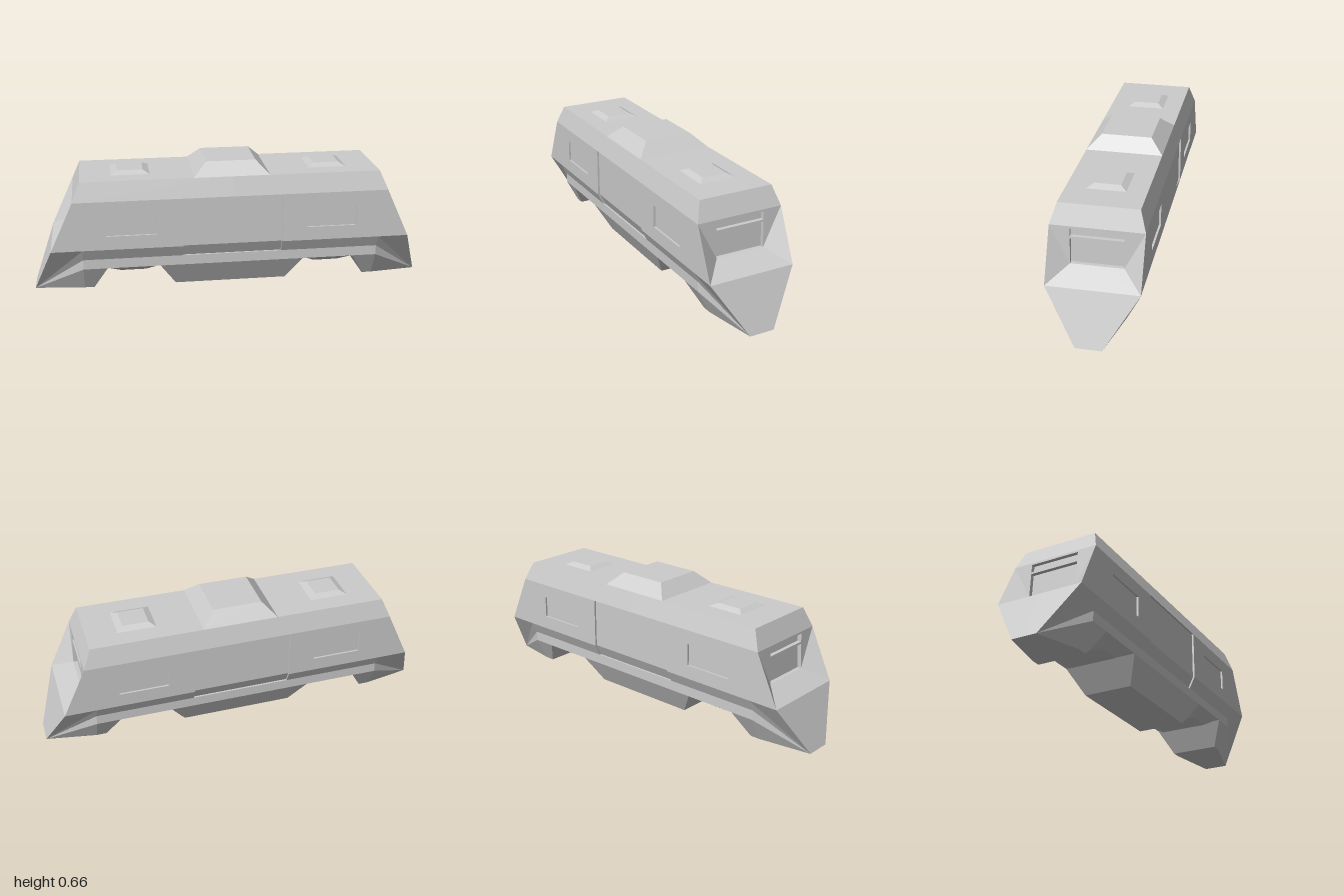
import * as THREE from 'three';

const grey = new THREE.MeshStandardMaterial({ color: 0xcccccc, flatShading: true });

function mesh(name, geometry) {
  const m = new THREE.Mesh(geometry, grey);
  m.name = name;
  return m;
}

// Flat polygons, each wound to face away from the point (dir 1) or towards it (dir -1)
function polygons(faces, point, dir = 1, signs = [[1, 1]]) {
  const out = [];
  for (const [sx, sz] of signs) {
    const flip = ([x, y, z]) => new THREE.Vector3(x * sx, y, z * sz);
    const centre = flip(point);
    for (const face of faces) {
      const p = face.map(flip);
      for (let i = 1; i < p.length - 1; i++) {
        const tri = new THREE.Triangle(p[0], p[i], p[i + 1]);
        const n = tri.getNormal(new THREE.Vector3());
        const away = tri.getMidpoint(new THREE.Vector3()).sub(centre);
        const order = n.dot(away) * dir > 0 ? [tri.a, tri.b, tri.c] : [tri.a, tri.c, tri.b];
        order.forEach(v => out.push(v.x, v.y, v.z));
      }
    }
  }
  const g = new THREE.BufferGeometry();
  g.setAttribute('position', new THREE.Float32BufferAttribute(out, 3));
  g.computeVertexNormals();
  return g;
}

const quarters = [[1, 1], [-1, 1], [1, -1], [-1, -1]];

// Four-sided block with its own half sizes at bottom and top
function frustum(name, x, y0, [bx, bz], y1, [tx, tz]) {
  const g = new THREE.BoxGeometry(2, 2, 2);
  const p = g.attributes.position;
  for (let i = 0; i < p.count; i++) {
    const top = p.getY(i) > 0;
    p.setXYZ(i, x + p.getX(i) * (top ? tx : bx), top ? y1 : y0, p.getZ(i) * (top ? tz : bz));
  }
  g.computeVertexNormals();
  return mesh(name, g);
}

const polygon = pts => pts.map(([x, y]) => new THREE.Vector2(x, y));
const rect = (x0, x1, y0, y1) => [[x0, y0], [x1, y0], [x1, y1], [x0, y1]];

// Sunken pane: floor and four walls between an outer and an inner outline
function pane(name, outer, inner, eye) {
  const walls = outer.map((p, i) => {
    const j = (i + 1) % 4;
    return [p, outer[j], inner[j], inner[i]];
  });
  return mesh(name, polygons([inner, ...walls], eye, -1));
}

// One long side with its windows and door
function sideWall() {
  const g = new THREE.Group();
  g.name = 'sideWall';
  const shape = new THREE.Shape(polygon([
    [-0.905, 0.25], [-0.25, 0.25], [-0.25, 0.5], [-0.79, 0.5]]));
  const right = new THREE.Shape(polygon([
    [0.25, 0.25], [0.905, 0.25], [0.79, 0.5], [0.25, 0.5]]));
  const openings = [rect(-0.63, -0.38, 0.32, 0.43), rect(0.38, 0.63, 0.32, 0.43)];
  [shape, right].forEach((s, i) => {
    s.holes.push(new THREE.Path(polygon(openings[i])));
    g.add(mesh('sidePanel', new THREE.ShapeGeometry(s).translate(0, 0, 0.22)));
    const at = z => openings[i].map(([x, y]) => [x, y, z]);
    g.add(pane('sideWindow', at(0.22), at(0.21), [i ? 0.5 : -0.5, 0.375, 0.3]));
  });
  // Door, folded along the lower edge of the wall
  const d = 0.25;
  const profile = [[0.5, 0.22], [0.25, 0.22], [0.19, 0.19]];
  const at = (x, k, sunk) => [x, profile[k][0], profile[k][1] - (sunk ? 0.01 : 0)];
  const faces = [];
  for (const k of [0, 1]) {
    faces.push([at(-d, k, 1), at(d, k, 1), at(d, k + 1, 1), at(-d, k + 1, 1)]);
    for (const x of [-d, d]) faces.push([at(x, k), at(x, k + 1), at(x, k + 1, 1), at(x, k, 1)]);
  }
  for (const k of [0, 2]) faces.push([at(-d, k), at(d, k), at(d, k, 1), at(-d, k, 1)]);
  g.add(mesh('door', polygons(faces, [0, 0.35, 0.35], -1)));
  return g;
}

// Cab front with a windscreen and a narrow window above it
function cabFront() {
  const g = new THREE.Group();
  g.name = 'cabFront';
  const w = 0.125;
  const xAt = y => 0.79 + (0.5 - y) * 0.054;
  const shape = new THREE.Shape(polygon([
    [-0.22, 0.5], [-w, 0.315], [-w, 0.44], [w, 0.44], [w, 0.315], [0.22, 0.5]]));
  shape.holes.push(new THREE.Path(polygon(rect(-w, w, 0.45, 0.49))));
  const geo = new THREE.ShapeGeometry(shape).rotateY(Math.PI / 2);
  const p = geo.attributes.position;
  for (let i = 0; i < p.count; i++) p.setX(i, xAt(p.getY(i)));
  g.add(mesh('cabPanel', geo));
  for (const [name, y0, y1] of [['windscreen', 0.315, 0.44], ['upperCabWindow', 0.45, 0.49]]) {
    const at = depth => rect(-w, w, y0, y1).map(([z, y]) => [xAt(y) - depth, y, z]);
    g.add(pane(name, at(0), at(0.02), [1, (y0 + y1) / 2, 0]));
  }
  return g;
}

export function createModel() {
  const model = new THREE.Group();
  model.name = 'railcar';

  // Hull, given as one quarter and mirrored
  const A = [0.75, 0.595, 0.19], B = [0.79, 0.5, 0.22], C = [0.8, 0.315, 0.125];
  const D = [0.905, 0.25, 0.22], E = [0.75, 0.25, 0.22], F = [0.75, 0.19, 0.19];
  const G = [0.75, 0.14, 0.19], tip = [1, 0, 0.063];
  const mid = ([x, y]) => [x, y, 0];
  const centre = ([, y, z]) => [0, y, z];
  const across = (p, q) => [mid(p), p, q, mid(q)];
  model.add(mesh('hull', polygons([
    [[0, 0.595, 0], mid(A), A, centre(A)],
    [centre(A), A, B, centre(B)],
    across(A, B),
    [B, D, C],
    across(C, D),
    across(D, tip),
    [[0.25, 0.25, 0.22], E, F, [0.25, 0.19, 0.19]],
    [E, D, tip],
    [E, tip, F],
    [F, tip, G],
    [centre(F), F, G, centre(G)],
    [[0, 0.14, 0], mid(G), G, centre(G)],
  ], [0, 0.35, 0], 1, quarters)));

  // Skirts below the cabs
  const H = [0.63, 0.14, 0.19], I = [0.7, 0.015, 0.125], J = [0.75, 0.015, 0.125];
  model.add(mesh('noseSkirts', polygons([
    [G, tip, J], [H, G, J, I], across(H, I), across(I, J), across(J, tip),
  ], [0.8, 0.1, 0], 1, quarters)));

  for (const turn of [0, Math.PI]) {
    const side = sideWall(), cab = cabFront();
    side.rotation.y = cab.rotation.y = turn;
    model.add(side, cab);
  }

  // Roof and underfloor blocks
  model.add(frustum('roofUnit', 0, 0.595, [0.19, 0.19], 0.658, [0.125, 0.125]));
  model.add(frustum('centreSkirt', 0, 0.015, [0.285, 0.125], 0.14, [0.365, 0.19]));
  for (const s of [-1, 1]) {
    model.add(frustum('roofVent', s * 0.5, 0.595, [0.097, 0.094], 0.611, [0.065, 0.063]));
    model.add(frustum('underfloorPod', s * 0.5, 0.1, [0.063, 0.125], 0.14, [0.115, 0.19]));
  }
  return model;
}
